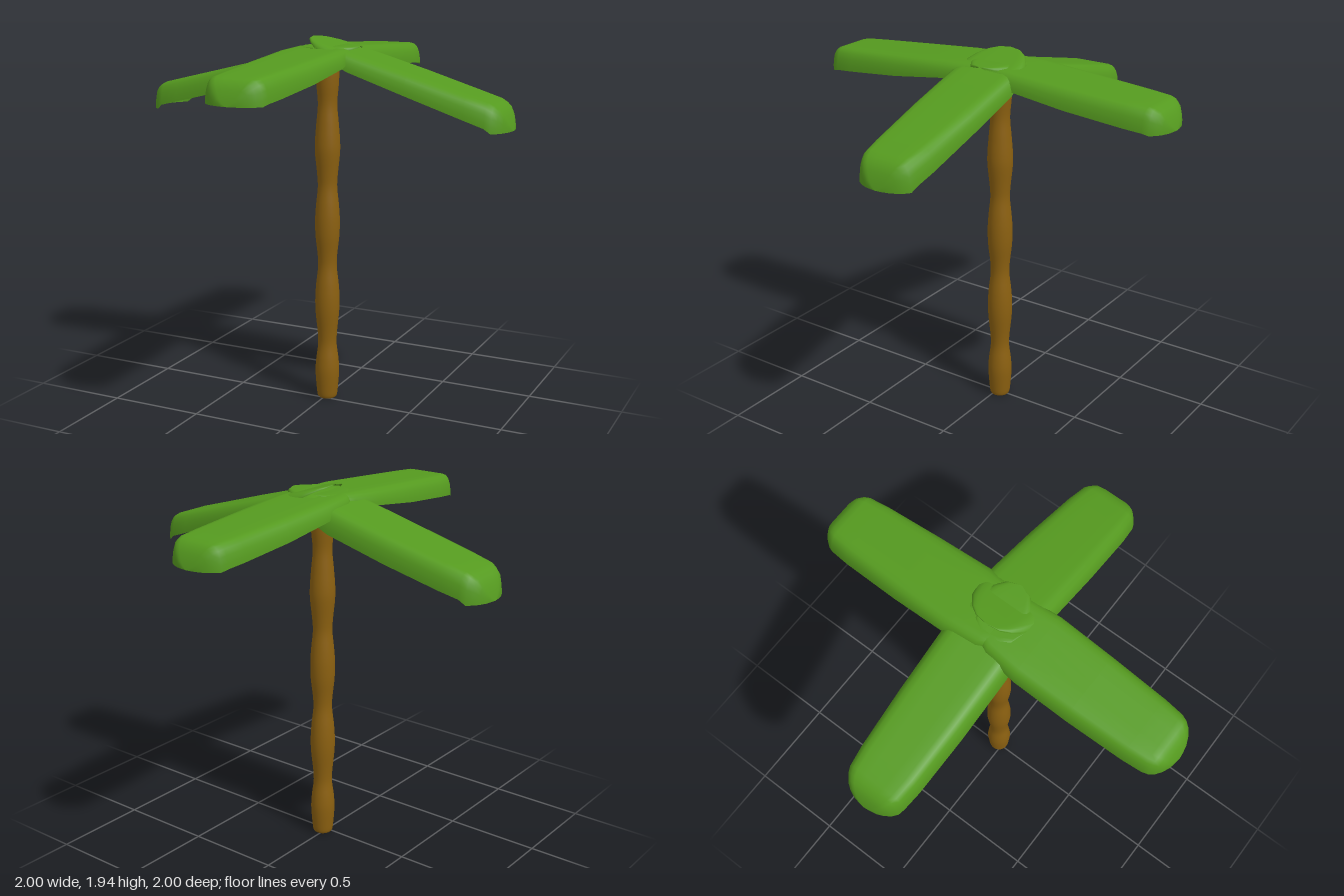
import * as THREE from 'three';

const green = new THREE.MeshStandardMaterial({ color: 0x559a1f, side: THREE.DoubleSide });
const brown = new THREE.MeshStandardMaterial({ color: 0x8b6010 });

// Half cross-section of a leaf: [fraction of half width, fraction of depth below the top]
const half = [[1, 1], [0.99, 0.75], [0.95, 0.45], [0.88, 0.2], [0.77, 0.05], [0.62, 0], [0.3, 0]];
const section = [...half.map(([u, v]) => [-u, v]), [0, 0], ...half.slice().reverse()];

// Loft an open-bottomed trough along +z; stations are [distance, half width, top y, rim y]
function leafGeometry(stations) {
  const pos = [], index = [], n = section.length;
  for (const [d, w, top, rim] of stations)
    for (const [u, v] of section) pos.push(u * w, top + (rim - top) * v, d);
  for (let i = 0; i < stations.length - 1; i++)
    for (let j = 0; j < n - 1; j++) {
      const a = i * n + j, b = a + n;
      index.push(a, b, a + 1, a + 1, b, b + 1);
    }
  const g = new THREE.BufferGeometry();
  g.setAttribute('position', new THREE.Float32BufferAttribute(pos, 3));
  g.setIndex(index);
  g.computeVertexNormals();
  return g;
}

// Plan of the rounded tip: [distance, half width, share of the drop from top to rim]
const tip = [[0.93, 0.148, 0.04], [0.955, 0.128, 0.18], [0.975, 0.1, 0.42], [0.99, 0.065, 0.72], [0.997, 0.03, 0.92], [1, 0.003, 1]];

function makeLeaf(name, root, body, tipTop, tipRim, x, z, angle) {
  const ends = tip.map(([d, w, s]) => [d, w, tipTop + (tipRim - tipTop) * s, tipRim]);
  const leaf = new THREE.Mesh(leafGeometry([...root, ...body, ...ends]), green);
  leaf.name = name;
  leaf.position.set(x, 0, z);
  leaf.rotation.y = angle;
  return leaf;
}

export function createModel() {
  const model = new THREE.Group();

  // Trunk with regular swellings
  const knots = [[0.04, 0], [0.052, 0.012], [0.058, 0.06], [0.064, 0.15], [0.06, 0.22], [0.05, 0.3],
    [0.052, 0.37], [0.063, 0.48], [0.065, 0.56], [0.06, 0.64], [0.05, 0.73],
    [0.052, 0.8], [0.063, 0.9], [0.065, 0.99], [0.06, 1.07], [0.051, 1.16],
    [0.054, 1.23], [0.065, 1.34], [0.065, 1.41], [0.058, 1.5], [0.05, 1.6],
    [0.058, 1.7], [0.06, 1.78], [0.05, 1.85]];
  const curve = new THREE.SplineCurve(knots.map(([r, y]) => new THREE.Vector2(r, y)));
  const profile = [new THREE.Vector2(0, 0), ...curve.getPoints(92), new THREE.Vector2(0, 1.85)];
  const trunk = new THREE.Mesh(new THREE.LatheGeometry(profile, 24), brown);
  trunk.name = 'trunk';
  trunk.position.set(0.01, 0, -0.025);
  model.add(trunk);

  // Left leaf, its thin rounded root lying over the crown
  model.add(makeLeaf('leftLeaf',
    [[-0.07, 0.01, 1.942, 1.938], [-0.06, 0.07, 1.939, 1.93], [-0.03, 0.115, 1.932, 1.915], [0.02, 0.155, 1.919, 1.885], [0.08, 0.18, 1.902, 1.845]],
    [[0.2, 0.19, 1.87, 1.79], [0.5, 0.185, 1.787, 1.69], [0.8, 0.172, 1.7, 1.59], [0.9, 0.16, 1.672, 1.555]],
    1.662, 1.53, 0, -0.03, Math.PI / 2));

  // Right leaf, levelling out under the left one
  model.add(makeLeaf('rightLeaf',
    [[-0.19, 0.01, 1.9, 1.893], [-0.17, 0.07, 1.9, 1.885], [-0.12, 0.115, 1.902, 1.87], [-0.05, 0.155, 1.902, 1.84], [0.03, 0.175, 1.894, 1.8]],
    [[0.17, 0.19, 1.855, 1.745], [0.5, 0.185, 1.772, 1.655], [0.8, 0.172, 1.698, 1.58], [0.9, 0.16, 1.673, 1.555]],
    1.664, 1.53, 0, -0.03, -Math.PI / 2));

  // Front and back leaves, almost level
  for (const [name, angle] of [['frontLeaf', 0], ['backLeaf', Math.PI]])
    model.add(makeLeaf(name,
      [[-0.12, 0.01, 1.897, 1.892], [-0.1, 0.08, 1.897, 1.88], [-0.05, 0.13, 1.897, 1.865], [0.03, 0.17, 1.896, 1.84]],
      [[0.2, 0.19, 1.889, 1.81], [0.5, 0.184, 1.868, 1.768], [0.8, 0.171, 1.847, 1.738], [0.9, 0.16, 1.84, 1.728]],
      1.838, 1.718, 0.01, 0, angle));

  return model;
}
